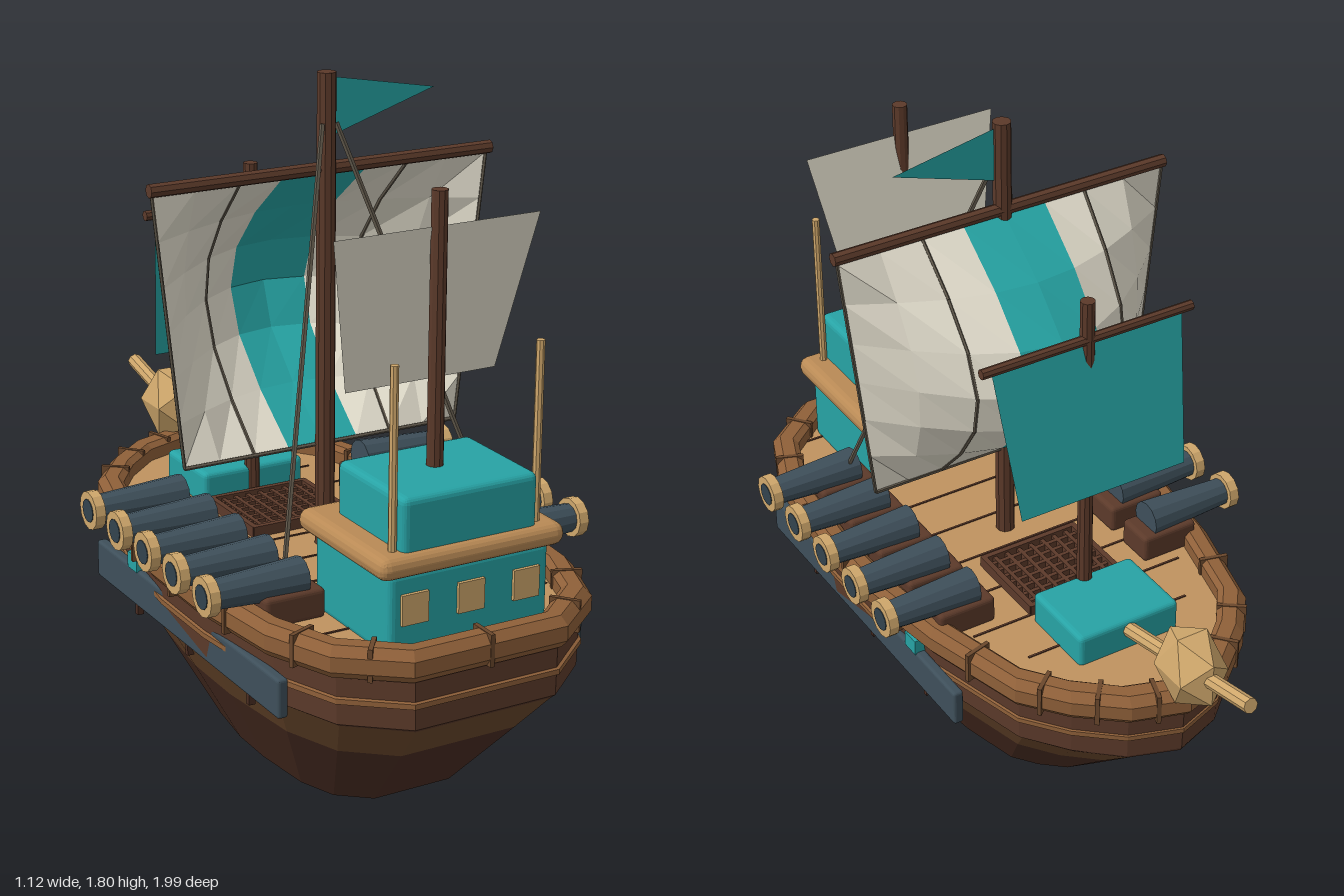
import * as THREE from 'three';
import { RoundedBoxGeometry } from 'three/addons/geometries/RoundedBoxGeometry.js';

const mat = (color, side = THREE.FrontSide) =>
  new THREE.MeshStandardMaterial({ color, side, flatShading: true });
const M = {
  darkWood: mat(0x4a2d22), bandWood: mat(0x6b482c), wood: mat(0x5c3a2a), rail: mat(0x8f6039),
  deck: mat(0xc0935f), tan: mat(0xd0a86c), roof: mat(0xb98a55), teal: mat(0x27a3a5), slate: mat(0x3e4f5a),
  bore: mat(0x33434d), rope: mat(0x5f574a), cloth: mat(0xe6e1d0, THREE.DoubleSide), tealCloth: mat(0x27a8a8, THREE.DoubleSide),
};

// Half outline of the rail from bow to stern, mirrored into a closed loop
const HALF = [[0, -0.75], [0.15, -0.7], [0.27, -0.6], [0.365, -0.48], [0.445, -0.18], [0.485, 0.1],
  [0.487, 0.35], [0.455, 0.67], [0.38, 0.86], [0.22, 0.985]];
const OUTLINE = [...HALF, ...HALF.slice(1).reverse().map(([x, z]) => [-x, z])];

// Outline fitted to a half width and a z range at height y
const ring = (y, hw, z0, z1) => OUTLINE.map(([x, z]) =>
  new THREE.Vector3(x * hw / 0.487, y, z0 + (z + 0.75) / 1.735 * (z1 - z0)));
const inset = (d, y) => ring(y, 0.487 - d, -0.75 + d * 1.2, 0.985 - d);

// Skin between closed loops with equal point counts
function loft(rings) {
  const n = rings[0].length, idx = [];
  for (let r = 0; r < rings.length - 1; r++) for (let i = 0; i < n; i++) {
    const j = (i + 1) % n, a = r * n + i, b = r * n + j, c = b + n, d = a + n;
    idx.push(a, d, c, a, c, b);
  }
  const g = new THREE.BufferGeometry().setFromPoints(rings.flat());
  g.setIndex(idx);
  g.computeVertexNormals();
  return g;
}

export function createModel() {
  const model = new THREE.Group();
  const add = (name, geo, material, x = 0, y = 0, z = 0, parent = model) => {
    const m = new THREE.Mesh(geo, material);
    m.name = name;
    m.position.set(x, y, z);
    parent.add(m);
    return m;
  };
  const box = (name, w, h, d, material, x, y, z, parent) =>
    add(name, new THREE.BoxGeometry(w, h, d), material, x, y, z, parent);
  const rounded = (name, w, h, d, r, material, x, y, z, parent) =>
    add(name, new RoundedBoxGeometry(w, h, d, 2, r), material, x, y, z, parent);
  const rod = (name, p, q, r, material, r2 = r, sides = 8, parent = model) => {
    const a = new THREE.Vector3(...p), b = new THREE.Vector3(...q), dir = b.clone().sub(a);
    const m = add(name, new THREE.CylinderGeometry(r2, r, dir.length(), sides), material, 0, 0, 0, parent);
    m.position.copy(a).add(b).multiplyScalar(0.5);
    m.quaternion.setFromUnitVectors(new THREE.Vector3(0, 1, 0), dir.normalize());
    return m;
  };

  // Hull in coloured strakes
  const centre = y => ring(y, 0.001, 0.159, 0.161);
  const bottom = ring(0, 0.25, -0.31, 0.63);
  const middle = ring(0.23, 0.372, -0.57, 0.845), chine = ring(0.35, 0.435, -0.71, 0.955);
  add('lowerHull', loft([centre(0), bottom, middle]), M.darkWood);
  add('hullBand', loft([middle, chine]), M.bandWood);
  add('upperHull', loft([chine, ring(0.36, 0.45, -0.715, 0.965), ring(0.5, 0.455, -0.72, 0.965)]), M.wood);
  add('hullStripe', loft([ring(0.415, 0.452, -0.716, 0.965), ring(0.418, 0.46, -0.722, 0.972),
    ring(0.432, 0.46, -0.722, 0.972), ring(0.435, 0.452, -0.716, 0.965)]), M.rail);

  // Deck with plank seams
  add('deck', loft([inset(0.04, 0.525), centre(0.525)]), M.deck);
  for (let i = 0; i < 9; i++) {
    const z = -0.36 + i * 0.15;
    box('plankSeam', (i < 1 ? 0.5 : i < 2 ? 0.66 : 0.72), 0.004, 0.006, M.wood, 0, 0.526, z);
  }

  // Rail with chamfered section and joints
  add('rail', loft([[0.045, 0.49], [0.015, 0.49], [0, 0.51], [0, 0.55], [0.02, 0.573], [0.055, 0.573],
    [0.07, 0.56], [0.07, 0.5], [0.045, 0.49]].map(([d, y]) => inset(d, y))), M.rail);
  OUTLINE.forEach(([x, z], i) => {
    const p = OUTLINE[(i + 1) % OUTLINE.length];
    const joint = box('railJoint', 0.08, 0.086, 0.012, M.bandWood, (x + p[0]) / 2 * 0.93, 0.532, 0.12 + ((z + p[1]) / 2 - 0.12) * 0.955);
    joint.rotation.y = Math.atan2(p[0] - x, p[1] - z);
  });

  // Side armour, pegs and hull patches
  for (const s of [-1, 1]) {
    rounded('sidePanel', 0.03, 0.105, 1.04, 0.008, M.slate, s * 0.435, 0.398, 0.21);
    for (const z of [0.53, 0.19, -0.11]) box('peg', 0.018, 0.06, 0.014, M.darkWood, s * 0.418, 0.328, z);
    box('hullPatch', 0.04, 0.045, 0.055, M.teal, s * 0.432, 0.468, -0.08);
  }

  // Cannons along both sides
  for (const s of [-1, 1]) for (let i = 0; i < 5; i++) {
    const cannon = new THREE.Group();
    cannon.name = 'cannon';
    cannon.position.set(0, 0.622, 0.54 - i * 0.165);
    model.add(cannon);
    rounded('carriage', 0.17, 0.08, 0.115, 0.012, M.wood, s * 0.325, -0.06, 0, cannon);
    rod('barrel', [s * 0.28, 0, 0], [s * 0.54, 0, 0], 0.052, M.slate, 0.038, 12, cannon);
    rod('muzzle', [s * 0.53, 0, 0], [s * 0.558, 0, 0], 0.053, M.tan, 0.053, 12, cannon);
    rod('bore', [s * 0.55, 0, 0], [s * 0.56, 0, 0], 0.032, M.bore, 0.032, 12, cannon);
  }

  // Stern cabin
  rounded('lowerCabin', 0.46, 0.22, 0.36, 0.018, M.teal, 0, 0.625, 0.7);
  rounded('cabinRoof', 0.53, 0.06, 0.42, 0.028, M.roof, 0, 0.755, 0.695);
  rounded('upperCabin', 0.385, 0.16, 0.315, 0.018, M.teal, 0, 0.842, 0.722);
  for (const x of [-0.16, 0, 0.16]) box('window', 0.075, 0.08, 0.014, M.tan, x, 0.64, 0.882);
  for (const s of [-1, 1]) rod('sternPole', [s * 0.205, 0.77, 0.85], [s * 0.205, 1.25, 0.85], 0.011, M.tan);

  // Fore cabin and deck grating
  rounded('foreCabin', 0.31, 0.1, 0.235, 0.014, M.teal, 0, 0.565, -0.345);
  for (const s of [-1, 1]) {
    box('grateSide', 0.016, 0.03, 0.26, M.wood, s * 0.145, 0.54, -0.08);
    box('grateEnd', 0.3, 0.03, 0.016, M.wood, 0, 0.54, -0.08 + s * 0.125);
  }
  for (let i = -3; i <= 3; i++) {
    box('grateBar', 0.012, 0.02, 0.25, M.wood, i * 0.038, 0.538, -0.08);
    box('grateCrossbar', 0.29, 0.018, 0.012, M.wood, 0, 0.538, -0.08 + i * 0.032);
  }

  // Bowsprit and figurehead
  rod('bowsprit', [0, 0.57, -0.4], [0, 0.707, -0.995], 0.021, M.tan);
  const head = add('figurehead', new THREE.IcosahedronGeometry(0.12, 0), M.tan, 0, 0.655, -0.74);
  head.scale.set(0.72, 1, 0.95);

  // Masts and yards
  rod('mainMast', [0, 0.5, 0.17], [0, 1.8, 0.17], 0.027, M.wood, 0.025, 10);
  rod('aftMast', [0, 0.85, 0.71], [0, 1.615, 0.71], 0.022, M.wood, 0.021, 10);
  rod('foreMast', [0, 0.5, -0.24], [0, 1.48, -0.24], 0.022, M.wood, 0.02, 10);
  rod('mainYard', [-0.5, 1.55, 0.165], [0.5, 1.55, 0.165], 0.018, M.wood);
  rod('foreYard', [-0.315, 1.37, -0.245], [0.315, 1.37, -0.245], 0.014, M.wood);

  // Billowing main sail: u runs across (-1..1), v runs down (0..1)
  const sailPoint = (u, v) => new THREE.Vector3(u * (0.49 - 0.08 * v), 1.535 - 0.73 * v,
    0.16 - 0.33 * Math.cos(u * Math.PI / 2) * Math.sin(v * Math.PI));
  const sailStrip = (name, u0, u1, cols, material) => {
    const g = new THREE.PlaneGeometry(1, 1, cols, 6), p = g.attributes.position;
    for (let i = 0; i < p.count; i++) {
      const q = sailPoint(u0 + (p.getX(i) + 0.5) * (u1 - u0), 0.5 - p.getY(i));
      p.setXYZ(i, q.x, q.y, q.z);
    }
    g.computeVertexNormals();
    add(name, g, material);
  };
  sailStrip('mainSailRight', -1, -0.25, 3, M.cloth);
  sailStrip('mainSailStripe', -0.25, 0.25, 2, M.tealCloth);
  sailStrip('mainSailLeft', 0.25, 1, 3, M.cloth);
  for (const u of [-1, -0.5, 0.5, 1]) for (let i = 0; i < 6; i++)
    rod('sailRope', sailPoint(u, i / 6).toArray(), sailPoint(u, (i + 1) / 6).toArray(), 0.005, M.rope, 0.005, 5);
  rod('sailFootRope', sailPoint(-1, 1).toArray(), sailPoint(1, 1).toArray(), 0.006, M.rope, 0.006, 5);

  // Flat tapered sails on the fore and aft masts
  const flatSail = (name, top, low, material) => {
    const g = new THREE.PlaneGeometry(2, 1), p = g.attributes.position;
    for (let i = 0; i < p.count; i++) {
      const [w, y, z] = p.getY(i) > 0 ? top : low;
      p.setXYZ(i, p.getX(i) * w, y, z);
    }
    g.computeVertexNormals();
    add(name, g, material);
  };
  flatSail('foreSail', [0.285, 1.365, -0.245], [0.25, 0.95, -0.33], M.tealCloth);
  flatSail('aftSail', [0.29, 1.525, 0.71], [0.215, 1.12, 0.64], M.cloth);

  // Pennant and stays
  const flag = new THREE.Shape([[0.02, 1.785], [0.02, 1.635], [0.32, 1.73]].map(p => new THREE.Vector2(...p)));
  add('pennant', new THREE.ShapeGeometry(flag), M.tealCloth, 0, 0, 0.17);
  for (const s of [-1, 1]) rod('stay', [s * 0.02, 1.67, 0.185], [s * 0.335, 0.56, 0.54], 0.007, M.rope, 0.007, 5);

  return model;
}
